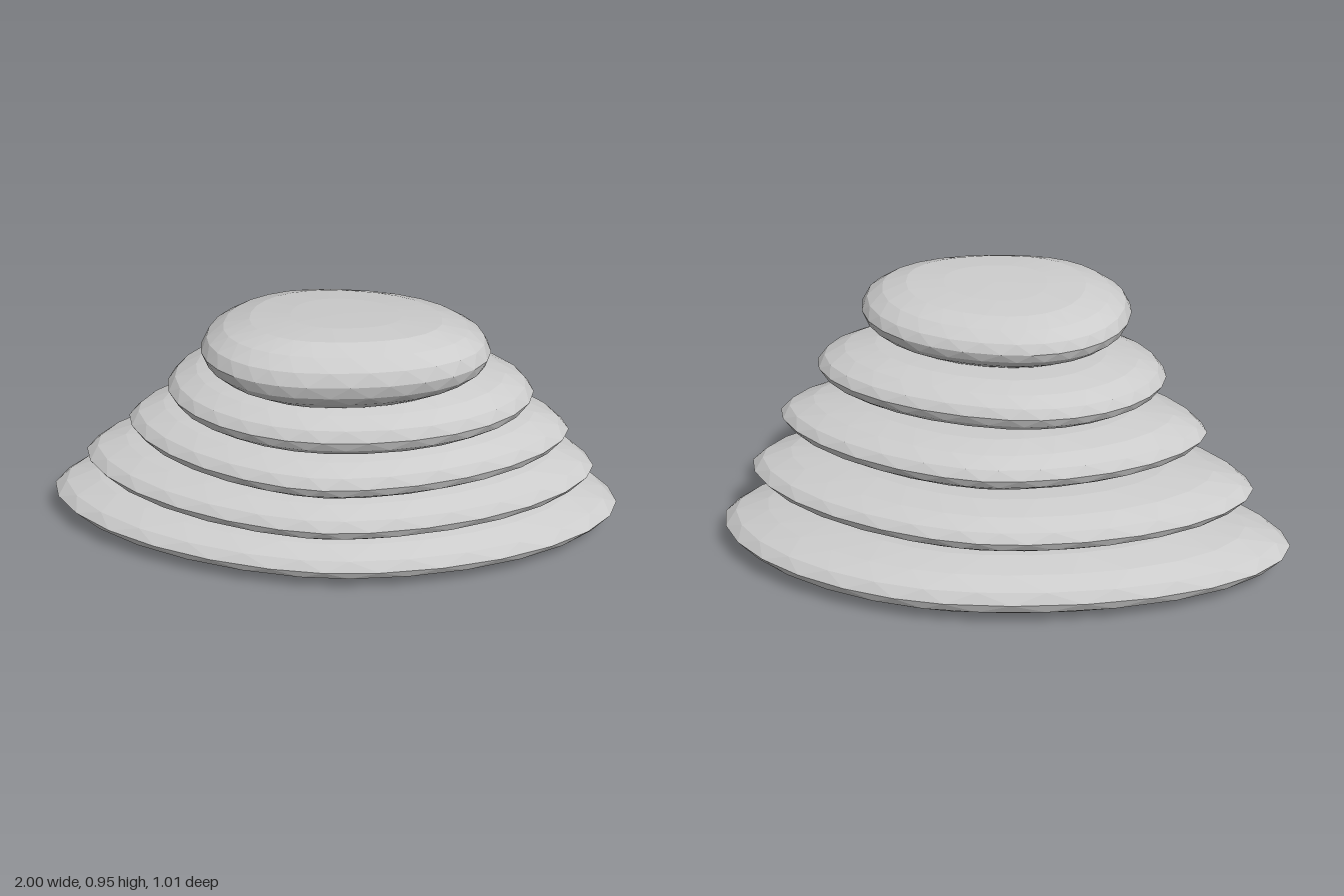
import * as THREE from 'three';

const material = new THREE.MeshStandardMaterial({ color: 0xcccccc, flatShading: true });
const SIDES = 28;

// [outline scale, height fraction] from underside to crown
const PROFILE = [
  [0.38, 0], [0.73, 0.01], [0.88, 0.17], [0.965, 0.32], [1, 0.5],
  [0.955, 0.68], [0.84, 0.84], [0.66, 0.95], [0.38, 0.99],
];

// Extents of each stone; tipZ, backX and frontX place the extreme points,
// power sets the roundness of the back and front, tilts raise the back
const STONES = [
  { left: -1, right: 1, back: -0.51, front: 0.44, tipZ: -0.04, backX: 0.15, frontX: 0,
    backPower: 1.85, frontPower: 1.78, y0: 0, y1: 0.2, bottomTilt: 0, topTilt: 0.03 },
  { left: -0.86, right: 0.9, back: -0.43, front: 0.47, tipZ: 0.02, backX: 0.04, frontX: 0,
    backPower: 1.75, frontPower: 1.7, y0: 0.195, y1: 0.38, bottomTilt: 0.03, topTilt: 0.025 },
  { left: -0.69, right: 0.8, back: -0.33, front: 0.49, tipZ: 0.08, backX: 0.04, frontX: 0,
    backPower: 1.7, frontPower: 1.7, y0: 0.375, y1: 0.56, bottomTilt: 0.035, topTilt: 0.025 },
  { left: -0.54, right: 0.67, back: -0.22, front: 0.495, tipZ: 0.14, backX: -0.04, frontX: 0,
    backPower: 1.92, frontPower: 1.95, y0: 0.55, y1: 0.74, bottomTilt: 0.035, topTilt: 0.01 },
  { left: -0.41, right: 0.52, back: -0.11, front: 0.505, tipZ: 0.23, backX: 0, frontX: -0.05,
    backPower: 2.15, frontPower: 2.1, y0: 0.73, y1: 0.945, bottomTilt: 0.035, topTilt: -0.07 },
];

// Point on the widest outline: four superellipse quarters, from the -x tip round the back
function outlinePoint(s, t) {
  const cos = -Math.cos(t), sin = Math.sin(t);
  const isBack = sin >= 0;
  const cx = isBack ? s.backX : s.frontX;
  const e = 2 / (isBack ? s.backPower : s.frontPower);
  return [
    cx + ((cos < 0 ? s.left : s.right) - cx) * Math.abs(cos) ** e,
    s.tipZ + ((isBack ? s.back : s.front) - s.tipZ) * Math.abs(sin) ** e,
  ];
}

// Pebble lofted through scaled copies of its outline
function stoneGeometry(s) {
  const cx = (s.left + s.right) / 2, cz = (s.back + s.front) / 2;
  const height = (z, f) =>
    s.y0 + (s.y1 - s.y0) * f + (cz - z) * THREE.MathUtils.lerp(s.bottomTilt, s.topTilt, f);

  const positions = [], index = [];
  PROFILE.forEach(([scale, f], row) => {
    for (let i = 0; i < SIDES; i++) {
      // Every other row is turned half a step for diamond-shaped facets
      const [px, pz] = outlinePoint(s, ((i + (row % 2) / 2) / SIDES) * Math.PI * 2);
      const x = cx + (px - cx) * scale, z = cz + (pz - cz) * scale;
      positions.push(x, height(z, f), z);
    }
  });
  const bottom = positions.length / 3, top = bottom + 1;
  positions.push(cx, height(cz, 0), cz, cx, height(cz, 1), cz);

  const last = (PROFILE.length - 1) * SIDES;
  for (let i = 0; i < SIDES; i++) {
    const j = (i + 1) % SIDES;
    for (let row = 0; row < PROFILE.length - 1; row++) {
      const a = row * SIDES, b = a + SIDES;
      if (row % 2) index.push(a + i, b + i, b + j, a + i, b + j, a + j);
      else index.push(a + i, b + i, a + j, a + j, b + i, b + j);
    }
    index.push(bottom, i, j, top, last + j, last + i);
  }

  const geometry = new THREE.BufferGeometry();
  geometry.setAttribute('position', new THREE.Float32BufferAttribute(positions, 3));
  geometry.setIndex(index);
  geometry.computeVertexNormals();
  return geometry;
}

export function createModel() {
  const group = new THREE.Group();
  group.name = 'stackedStones';
  STONES.forEach((stone, i) => {
    const mesh = new THREE.Mesh(stoneGeometry(stone), material);
    mesh.name = `stone${i + 1}`;
    group.add(mesh);
  });
  return group;
}
